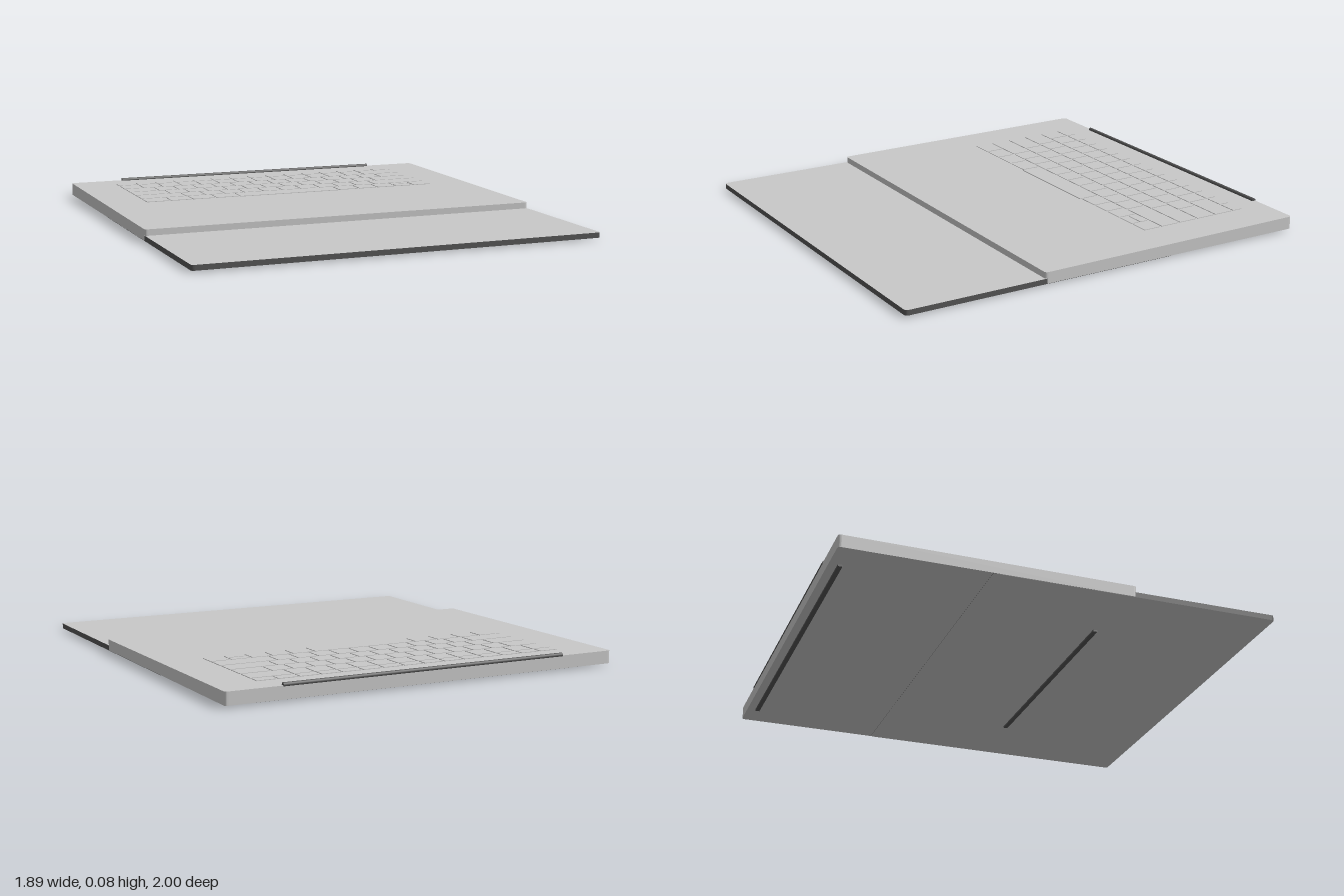
import * as THREE from 'three';

const body = new THREE.MeshStandardMaterial({ color: 0xc8c8c8 });
body.name = 'light grey';
const dark = new THREE.MeshStandardMaterial({ color: 0x545454 });
dark.name = 'dark grey';

const HALF = 0.945;
const deckY = (z) => 0.0625 - 0.0056 * z; // deck rises gently to the back

// Rounded plan outline extruded upwards from y0 to y1
function slab(halfW, z0, z1, y0, y1, r) {
  const s = new THREE.Shape();
  const a = -z1, b = -z0;
  s.moveTo(-halfW + r, a);
  s.lineTo(halfW - r, a);
  s.quadraticCurveTo(halfW, a, halfW, a + r);
  s.lineTo(halfW, b - r);
  s.quadraticCurveTo(halfW, b, halfW - r, b);
  s.lineTo(-halfW + r, b);
  s.quadraticCurveTo(-halfW, b, -halfW, b - r);
  s.lineTo(-halfW, a + r);
  s.quadraticCurveTo(-halfW, a, -halfW + r, a);
  const g = new THREE.ExtrudeGeometry(s, { depth: y1 - y0, bevelEnabled: false, curveSegments: 5 });
  g.rotateX(-Math.PI / 2);
  g.translate(0, y0, 0);
  return g;
}

// Box given by its limits
function block(x0, x1, y0, y1, z0, z1) {
  const g = new THREE.BoxGeometry(x1 - x0, y1 - y0, z1 - z0);
  g.translate((x0 + x1) / 2, (y0 + y1) / 2, (z0 + z1) / 2);
  return g;
}

// Moves the vertices above a height so that they follow the sloping deck
function slopeTop(g, above, lift) {
  const p = g.attributes.position;
  for (let i = 0; i < p.count; i++) if (p.getY(i) > above) p.setY(i, deckY(p.getZ(i)) + lift);
  g.computeVertexNormals();
  return g;
}

export function createModel() {
  const model = new THREE.Group();
  model.name = 'laptop';
  const add = (name, geometry, material, parent = model) => {
    const mesh = new THREE.Mesh(geometry, material);
    mesh.name = name;
    parent.add(mesh);
  };

  // Wedge-shaped base
  add('base', slopeTop(slab(HALF, -0.998, 0.335, 0.0097, 0.06, 0.015), 0.03, 0), body);

  // Lid as deep as the base, half tucked into its underside, with dark edges
  add('lid', slab(HALF - 0.001, -0.325, 1, 0.008, 0.032, 0.015), [body, dark]);

  // Round rear bar
  const bar = new THREE.CylinderGeometry(0.01, 0.01, 1.37, 16);
  bar.rotateZ(Math.PI / 2);
  bar.translate(0, 0.07, -0.99);
  add('rearBar', bar, dark);

  // Two rubber feet
  add('rearFoot', block(-0.8, 0.8, 0, 0.012, -0.96, -0.94), dark);
  add('frontFoot', block(-0.59, 0.59, 0, 0.012, 0.277, 0.297), dark);

  // Keyboard: low keys separated by narrow gaps
  const keyboard = new THREE.Group();
  keyboard.name = 'keyboard';
  model.add(keyboard);

  const G = 0.005; // half of a gap
  const clampX = (x, inset) => (Math.abs(x) > 0.74 ? Math.sign(x) * 0.745 : x + inset);
  const key = (x0, x1, z0, z1) =>
    add('key', slopeTop(block(clampX(x0, G), clampX(x1, -G), 0.058, 0.065, z0, z1), 0.06, 0.003), body, keyboard);

  // Key widths in units of 0.1
  const ones = (n) => Array(n).fill(1);
  const rows = [
    { z: [-0.87, -0.82], w: ones(15) },
    { z: [-0.81, -0.717], w: [...ones(13), 2] },
    { z: [-0.707, -0.615], w: [1.5, ...ones(12), 1.5] },
    { z: [-0.605, -0.515], w: [1.75, ...ones(11), 2.25] },
    { z: [-0.505, -0.413], w: [2.25, ...ones(10), 2.75] },
  ];
  for (const { z, w } of rows) {
    let x = -0.75;
    for (const u of w) {
      key(x, x + u * 0.1, z[0], z[1]);
      x += u * 0.1;
    }
  }

  // Bottom row with the space bar and split arrow keys
  const edges = [-0.75, -0.63, -0.52, -0.4, -0.28, 0.24, 0.35, 0.45, 0.55, 0.65, 0.75];
  for (let i = 0; i < edges.length - 1; i++) {
    const front = i === 4 ? -0.31 : -0.318;
    if (i === 8) {
      key(edges[i], edges[i + 1], -0.403, -0.365);
      key(edges[i], edges[i + 1], -0.356, front);
    } else {
      key(edges[i], edges[i + 1], -0.403, front);
    }
  }
  return model;
}
